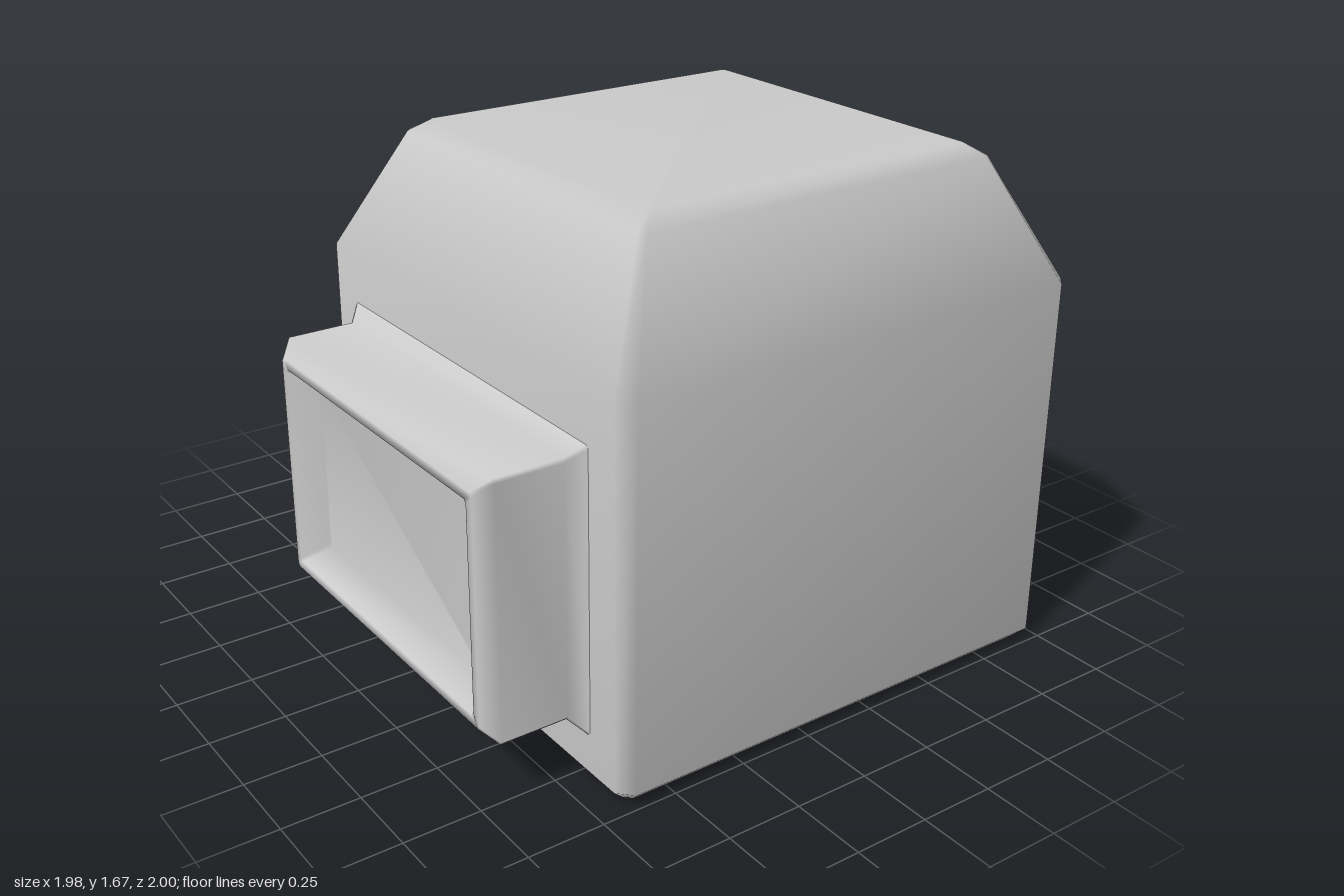
import * as THREE from 'three';

const material = new THREE.MeshStandardMaterial({ color: 0xcccccc });

// Skin over chamfered-rectangle rings [height, halfWidth, halfDepth, cornerCut],
// rising along +y, with the last ring capped and the first one optionally capped.
function loft(name, rings, capStart) {
  const pos = [], index = [];
  for (const [y, w, d, c] of rings) {
    const corners = [[w, -d + c], [w, d - c], [w - c, d], [-w + c, d],
      [-w, d - c], [-w, -d + c], [-w + c, -d], [w - c, -d]];
    for (const [x, z] of corners) pos.push(x, y, z);
  }
  for (let r = 0; r < rings.length - 1; r++) {
    for (let i = 0; i < 8; i++) {
      const a = r * 8 + i, b = r * 8 + (i + 1) % 8;
      index.push(a, a + 8, b, b, a + 8, b + 8);
    }
  }
  const last = (rings.length - 1) * 8;
  for (let k = 1; k < 7; k++) {
    index.push(last, last + k + 1, last + k);
    if (capStart) index.push(0, k, k + 1);
  }
  const geometry = new THREE.BufferGeometry();
  geometry.setAttribute('position', new THREE.Float32BufferAttribute(pos, 3));
  geometry.setIndex(index);
  geometry.computeVertexNormals(); // area weighted: flat faces, soft bevels
  const mesh = new THREE.Mesh(geometry, material);
  mesh.name = name;
  return mesh;
}

// Rings of a block with a flared foot and a bevelled outer edge
const BEVEL = 0.045;
function blockRings(length, w, d) {
  return [
    [0, w + BEVEL, d + BEVEL, 0.01],
    [BEVEL, w, d, 0.01],
    [length - BEVEL, w, d, 0.01],
    [length, w - BEVEL, d - BEVEL, 0.01],
  ];
}

export function createModel() {
  const group = new THREE.Group();
  group.name = 'blockWithSidePods';

  // Main body: bevelled base, straight walls, sloping shoulders, flat top
  const hw = 0.835, hd = 0.83;
  const body = loft('body', [
    [0, hw - BEVEL, hd - BEVEL, 0.02],
    [BEVEL, hw, hd, BEVEL],
    [1.25, hw, hd, BEVEL],
    [1.63, hw - 0.19, hd - 0.19, 0.02],
    [1.67, hw - 0.25, hd - 0.25, 0.01],
  ], true);
  body.position.set(0.155, 0, 0.165);

  // Plain block on the back
  const backBlock = loft('backBlock', blockRings(0.335, 0.62, 0.4125), false);
  backBlock.rotation.x = -Math.PI / 2;
  backBlock.position.set(0.155, 0.6275, -0.665);

  // Side block with a rimmed, sloping recess in its outer face
  const sideRings = blockRings(0.31, 0.4125, 0.62);
  sideRings.push(
    [0.31, 0.4125 - 0.075, 0.62 - 0.075, 0.01],
    [0.23, 0.4125 - 0.13, 0.62 - 0.13, 0.01],
  );
  const sideBlock = loft('recessedSideBlock', sideRings, false);
  sideBlock.rotation.z = Math.PI / 2;
  sideBlock.position.set(-0.68, 0.6275, 0.165);

  group.add(body, backBlock, sideBlock);
  return group;
}
